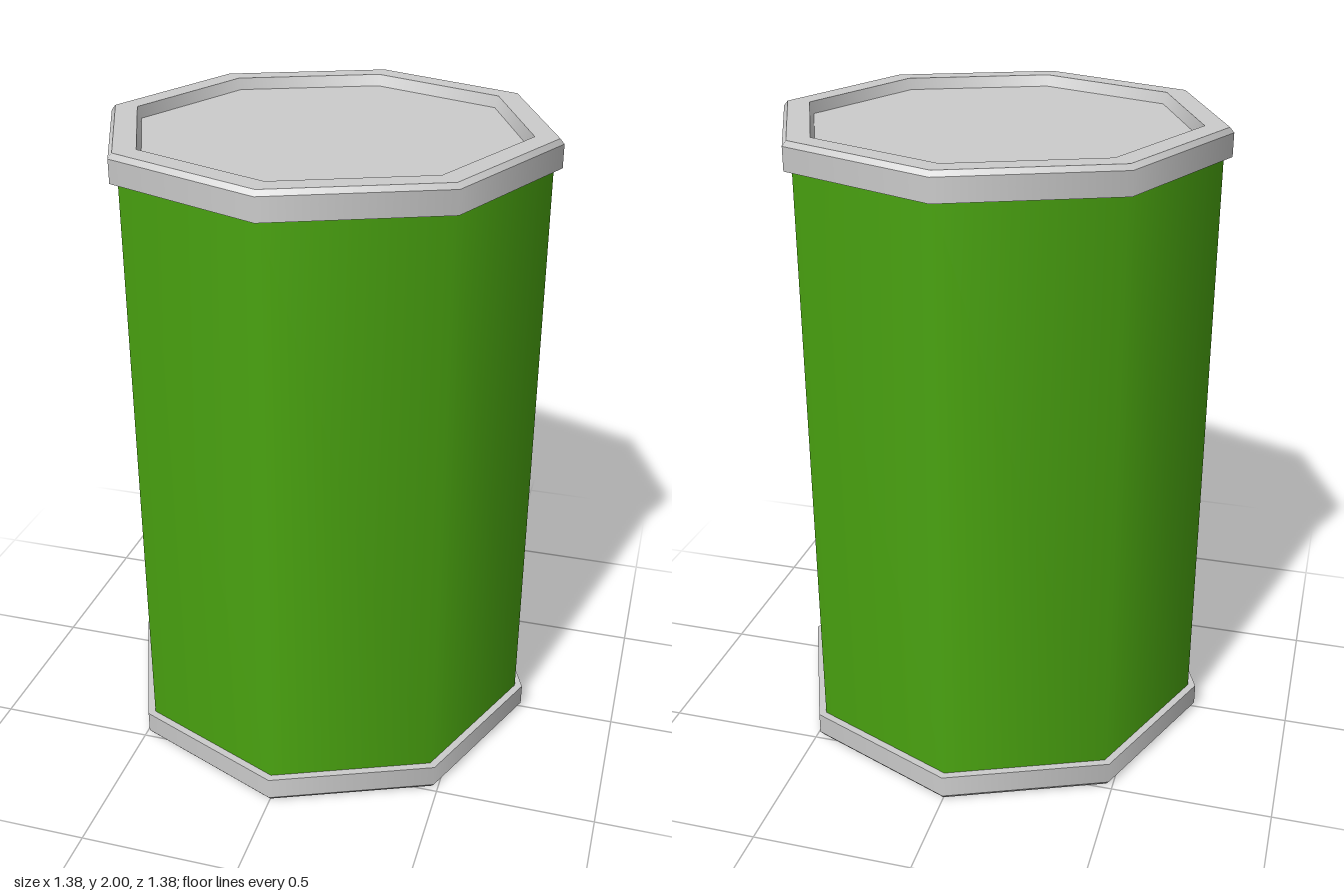
import * as THREE from 'three';
import { mergeGeometries } from 'three/addons/utils/BufferGeometryUtils.js';

const SIDES = 8;

// Turned octagonal form: smooth around the axis, sharp between profile segments
function turned(profile) {
  const bands = [];
  for (let i = 0; i < profile.length - 1; i++) {
    const pair = [profile[i], profile[i + 1]].map(([r, y]) => new THREE.Vector2(r, y));
    bands.push(new THREE.LatheGeometry(pair, SIDES));
  }
  return mergeGeometries(bands);
}

export function createModel() {
  const model = new THREE.Group();
  model.name = 'drum';

  const grey = new THREE.MeshStandardMaterial({ color: 0xcccccc });
  const green = new THREE.MeshStandardMaterial({ color: 0x4aa410 });

  // Green side wall
  const body = new THREE.Mesh(turned([[0.665, 0.08], [0.665, 1.92]]), green);
  body.name = 'body';
  model.add(body);

  // Rim with bevelled edge and recessed end plate
  const lidGeometry = turned([
    [0.655, 1.915], [0.69, 1.915], [0.69, 1.985], [0.677, 2],
    [0.605, 2], [0.593, 1.965], [0, 1.965],
  ]);
  const topLid = new THREE.Mesh(lidGeometry, grey);
  topLid.name = 'topLid';
  model.add(topLid);

  // Same lid turned over for the base
  const bottomLid = new THREE.Mesh(lidGeometry, grey);
  bottomLid.name = 'bottomLid';
  bottomLid.rotation.x = Math.PI;
  bottomLid.position.y = 2;
  model.add(bottomLid);

  return model;
}
